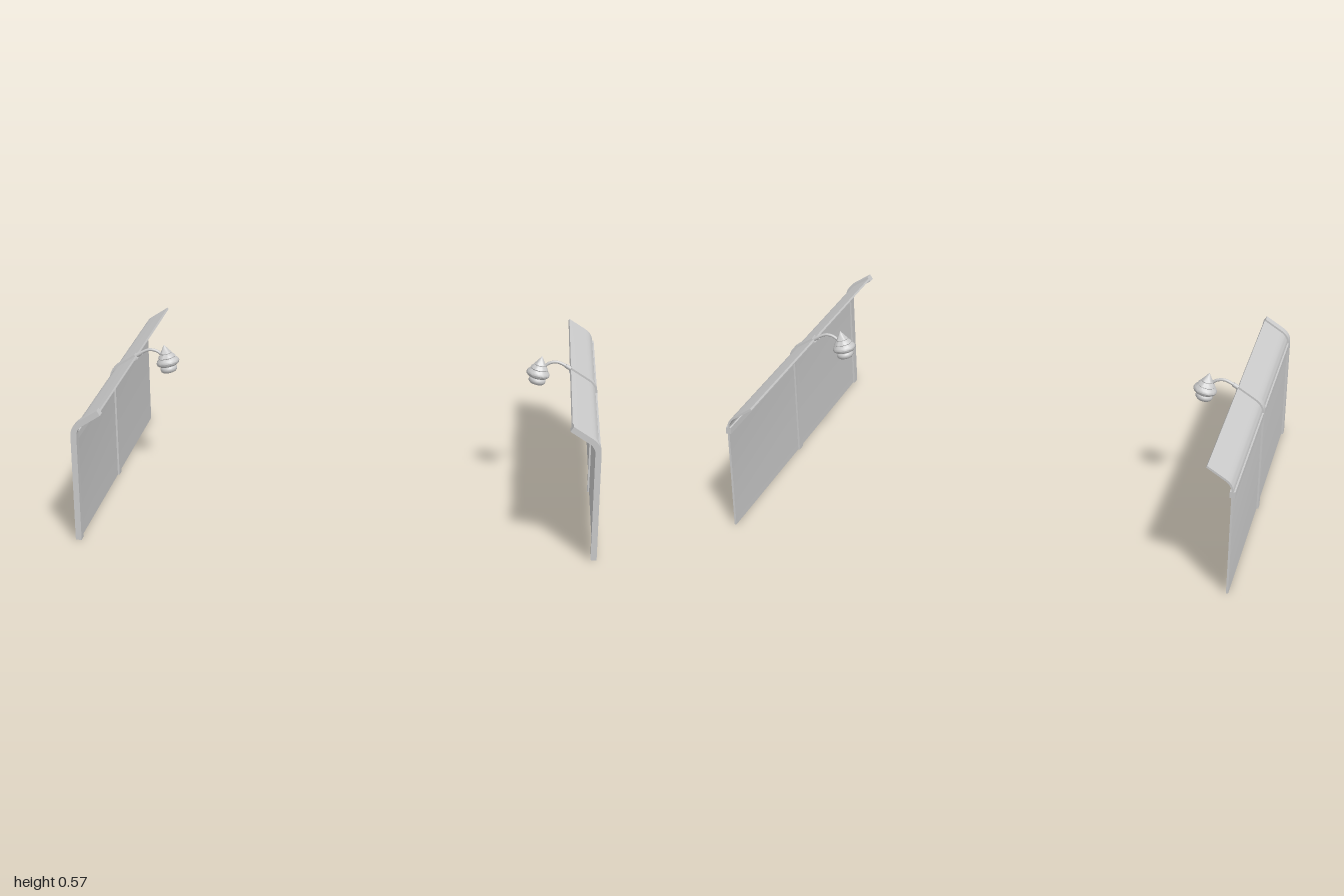
import * as THREE from 'three';
import { toCreasedNormals } from 'three/addons/utils/BufferGeometryUtils.js';

const material = new THREE.MeshStandardMaterial({ color: 0xcccccc, side: THREE.DoubleSide });

function add(parent, name, geometry, x = 0, y = 0, z = 0) {
  const mesh = new THREE.Mesh(geometry, material);
  mesh.name = name;
  mesh.position.set(x, y, z);
  parent.add(mesh);
  return mesh;
}

// Centre line of the wall section: upright, rounded bend, sloping canopy
function wallPath(side) {
  const bend = new THREE.QuadraticBezierCurve(
    new THREE.Vector2(0.988, 0.43), new THREE.Vector2(0.987, 0.46), new THREE.Vector2(0.958, 0.478));
  return [new THREE.Vector2(0.988, 0), ...bend.getPoints(6), new THREE.Vector2(0.888, 0.522)]
    .map((p) => new THREE.Vector2(p.x * side, p.y));
}

// Thickens a path in the xy plane and extrudes it from z0 to z1
function ribbon(path, thickness, z0, z1) {
  const left = [], right = [];
  path.forEach((p, i) => {
    const a = path[Math.max(i - 1, 0)], b = path[Math.min(i + 1, path.length - 1)];
    const t = b.clone().sub(a).normalize();
    const n = new THREE.Vector2(-t.y, t.x).multiplyScalar(thickness / 2);
    // Keep the foot of the upright square to the ground
    if (i === 0) n.set(n.x, 0);
    left.push(p.clone().add(n));
    right.unshift(p.clone().sub(n));
  });
  const geometry = new THREE.ExtrudeGeometry(new THREE.Shape([...left, ...right]), {
    depth: z1 - z0, bevelEnabled: false,
  });
  geometry.translate(0, 0, z0);
  return toCreasedNormals(geometry, 0.6);
}

function createLamp(side) {
  const lamp = new THREE.Group();
  lamp.name = 'lamp';

  // Gooseneck arm from the post tip to the shade
  const curve = new THREE.CatmullRomCurve3([
    [0.9, 0.517], [0.865, 0.537], [0.835, 0.549], [0.805, 0.545], [0.782, 0.527], [0.771, 0.505],
  ].map(([x, y]) => new THREE.Vector3(x * side, y, 0)));
  add(lamp, 'lampArm', new THREE.TubeGeometry(curve, 28, 0.006, 10));
  const collar = add(lamp, 'armCollar', new THREE.CylinderGeometry(0.009, 0.009, 0.03, 12),
    0.882 * side, 0.527, 0);
  collar.rotation.z = side * 1.02;

  // Tilted head, opening towards the middle
  const head = new THREE.Group();
  head.name = 'lampHead';
  head.position.set(0.757 * side, 0.492, 0);
  head.rotation.z = -side * 0.2;
  lamp.add(head);

  // Stepped conical shade with rounded tiers
  const profile = [
    [0, 0.082], [0.005, 0.075], [0.02, 0.052], [0.024, 0.047], [0.023, 0.044],
    [0.033, 0.035], [0.036, 0.029], [0.034, 0.026], [0.044, 0.017], [0.048, 0.008],
    [0.046, 0.001], [0.038, -0.006], [0.03, -0.008],
  ].map(([r, y]) => new THREE.Vector2(r, y));
  add(head, 'lampShade', toCreasedNormals(new THREE.LatheGeometry(profile.reverse(), 24), 0.7));

  // Ring lamp with a small bulb in its centre
  const ring = add(head, 'lampRing', new THREE.TorusGeometry(0.02, 0.015, 12, 24), 0.003 * side, -0.021, 0);
  ring.rotation.x = Math.PI / 2;
  add(head, 'lampBulb', new THREE.SphereGeometry(0.011, 16, 10), 0.003 * side, -0.021, 0);
  return lamp;
}

function createBarrier(side) {
  const barrier = new THREE.Group();
  barrier.name = side > 0 ? 'leftBarrier' : 'rightBarrier';
  const path = wallPath(side);

  // Thin sheet running the full length
  add(barrier, 'panel', ribbon(path, 0.008, -0.7, 0.697));

  // Curved posts at the front end and in the middle
  for (const [name, z] of [['endPost', 0.683], ['middlePost', -0.008]]) {
    add(barrier, name, ribbon(path, 0.023, z - 0.0175, z + 0.0175));
  }

  // Horizontal rail below the bend
  add(barrier, 'rail', new THREE.BoxGeometry(0.021, 0.026, 1.395), 0.988 * side, 0.418, -0.002);

  const lamp = createLamp(side);
  lamp.position.z = -0.012;
  barrier.add(lamp);
  return barrier;
}

export function createModel() {
  const model = new THREE.Group();
  model.name = 'roadsideBarriers';
  for (const side of [1, -1]) model.add(createBarrier(side));
  return model;
}
